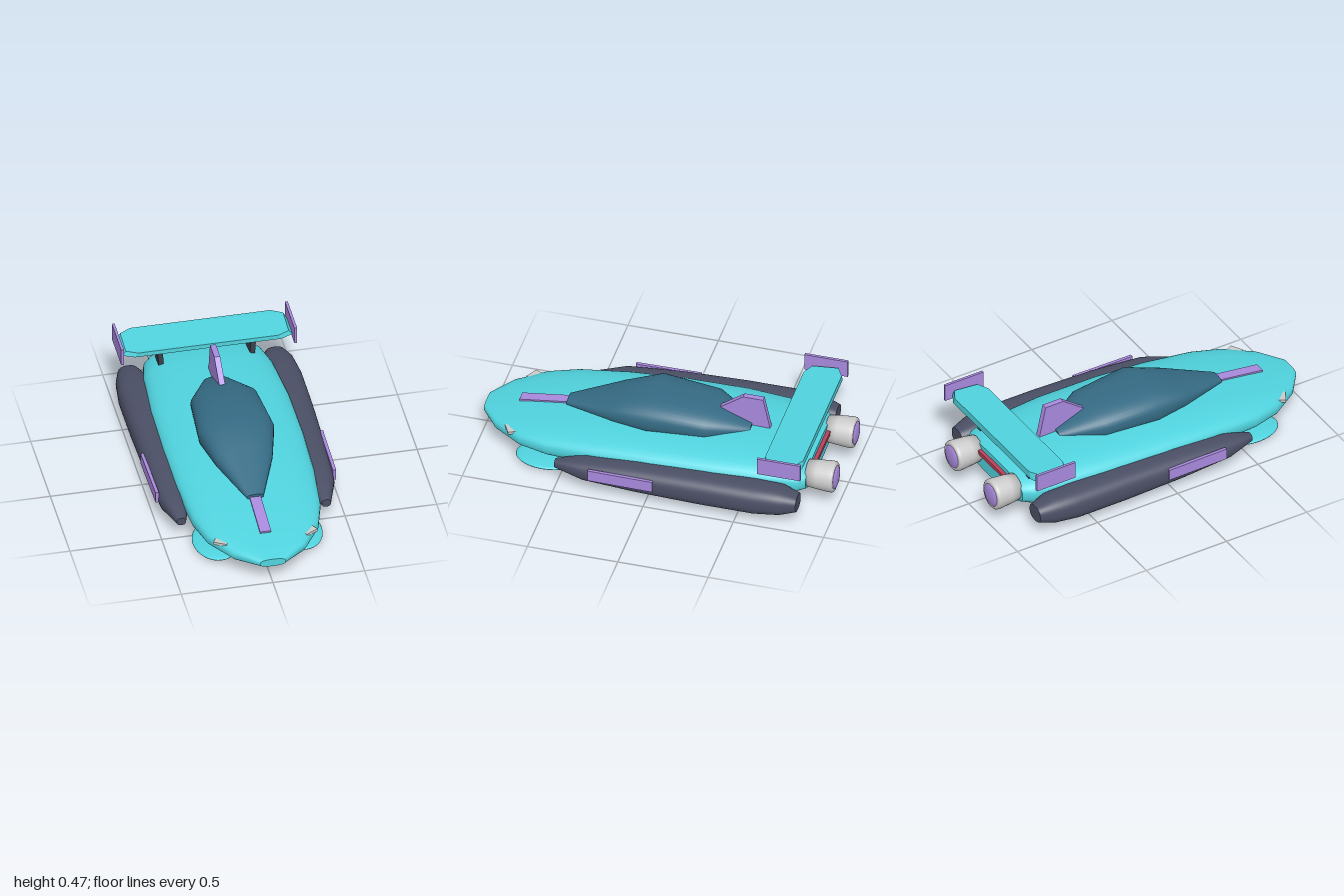
import * as THREE from 'three';

const mat = (color) => new THREE.MeshStandardMaterial({ color });
const TEAL = mat(0x50d3de), DARK = mat(0x4b4f65), GLASS = mat(0x356b84), PURPLE = mat(0xa98ade);
const BELLY = mat(0x2b2d38), STRUT = mat(0x3b3f4c), GREY = mat(0xcccccc), RED = mat(0xb8405a);

// Skin over superellipse sections, listed nose to tail: [z, halfWidth, bottom, top, centreX]
function loft(stations, power, sides = 40) {
  const pos = [], idx = [];
  const sp = (v) => Math.sign(v) * Math.abs(v) ** (2 / power);
  const ring = ([z, w, lo, hi, cx = 0]) => {
    const start = pos.length / 3;
    for (let j = 0; j < sides; j++) {
      const a = (j / sides) * Math.PI * 2;
      pos.push(cx + w * sp(Math.cos(a)), (lo + hi) / 2 + ((hi - lo) / 2) * sp(Math.sin(a)), z);
    }
    return start;
  };
  const starts = stations.map(ring);
  for (let i = 0; i + 1 < starts.length; i++) {
    for (let j = 0; j < sides; j++) {
      const k = (j + 1) % sides, p = starts[i], q = starts[i + 1];
      idx.push(p + j, q + j, p + k, q + j, q + k, p + k);
    }
  }
  // flat end caps with their own vertices
  [stations[0], stations[stations.length - 1]].forEach((s, end) => {
    const r = ring(s), c = pos.length / 3;
    pos.push(s[4] || 0, (s[2] + s[3]) / 2, s[0]);
    for (let j = 0; j < sides; j++) {
      const k = (j + 1) % sides;
      if (end) idx.push(c, r + k, r + j);
      else idx.push(c, r + j, r + k);
    }
  });
  const g = new THREE.BufferGeometry();
  g.setAttribute('position', new THREE.Float32BufferAttribute(pos, 3));
  g.setIndex(idx);
  g.computeVertexNormals();
  return g;
}

export function createModel() {
  const model = new THREE.Group();
  model.name = 'hoverRacer';
  const add = (name, geometry, material, x = 0, y = 0, z = 0) => {
    const m = new THREE.Mesh(geometry, material);
    m.name = name;
    m.position.set(x, y, z);
    model.add(m);
    return m;
  };
  const box = (w, h, d) => new THREE.BoxGeometry(w, h, d);

  // Main body
  add('hull', loft([
    [1, 0.07, 0.11, 0.155], [0.9, 0.2, 0.09, 0.18], [0.74, 0.305, 0.073, 0.207],
    [0.58, 0.35, 0.064, 0.23], [0.3, 0.375, 0.06, 0.262], [0, 0.385, 0.058, 0.281],
    [-0.35, 0.38, 0.06, 0.29], [-0.65, 0.355, 0.065, 0.283], [-0.79, 0.325, 0.075, 0.265],
    [-0.84, 0.29, 0.09, 0.245],
  ], 2.7, 48), TEAL);

  add('canopy', loft([
    [0.55, 0.045, 0.225, 0.258], [0.27, 0.155, 0.22, 0.352], [0.07, 0.206, 0.21, 0.42],
    [-0.25, 0.182, 0.22, 0.39], [-0.47, 0.065, 0.24, 0.3],
  ], 2.5), GLASS);

  add('bellyPlate', loft([
    [0.8, 0.13, 0.036, 0.06], [0.6, 0.23, 0.031, 0.065], [0.2, 0.29, 0.025, 0.07],
    [-0.3, 0.3, 0.022, 0.07], [-0.62, 0.28, 0.027, 0.07], [-0.71, 0.26, 0.036, 0.07],
  ], 3.5), BELLY);

  // Stripe sunk into the nose
  const stripe = add('noseStripe', box(0.06, 0.02, 0.31), PURPLE, 0, 0.217, 0.66);
  stripe.rotation.x = 0.14;

  // Dorsal fin: outline in (-z, y), extruded across x
  const finShape = new THREE.Shape([[0.29, 0.37], [0.3, 0.28], [0.57, 0.28], [0.53, 0.466], [0.42, 0.466]]
    .map(([a, b]) => new THREE.Vector2(a, b)));
  const finGeo = new THREE.ExtrudeGeometry(finShape, { depth: 0.032, bevelEnabled: false });
  finGeo.translate(0, 0, -0.016).rotateY(Math.PI / 2);
  add('dorsalFin', finGeo, PURPLE);

  // Rear wing: clipped-corner plan, narrowing upwards with a sloping top
  const plan = [[0.4, 0.645], [0.465, 0.675], [0.465, 0.82], [0.4, 0.855]];
  const outline = [...plan, ...plan.map(([x, z]) => [-x, z]).reverse()];
  const wingGeo = new THREE.ExtrudeGeometry(
    new THREE.Shape(outline.map(([x, z]) => new THREE.Vector2(x, z))), { depth: 0.04, bevelEnabled: false });
  wingGeo.rotateX(-Math.PI / 2);
  const p = wingGeo.attributes.position;
  for (let i = 0; i < p.count; i++) {
    if (p.getY(i) > 0.02) {
      p.setX(i, p.getX(i) * 0.955);
      if (p.getZ(i) > -0.7) p.setY(i, 0.026);
    }
  }
  wingGeo.computeVertexNormals();
  add('rearWing', wingGeo, TEAL, 0, 0.36, 0);

  add('tailLight', box(0.32, 0.022, 0.04), RED, 0, 0.205, -0.842);

  // Engine nozzle profile, radius against length
  const nozzle = [[0, 0], [0.074, 0], [0.08, 0.06], [0.086, 0.13], [0.084, 0.148], [0.076, 0.155], [0.06, 0.155], [0, 0.15]]
    .map(([r, l]) => new THREE.Vector2(r, l));

  for (const s of [1, -1]) {
    const side = s > 0 ? 'left' : 'right';

    // Side pod and its outer stripe
    add(side + 'SidePod', loft([
      [0.515, 0.025, 0.09, 0.135, 0.395 * s], [0.35, 0.077, 0.062, 0.178, 0.397 * s],
      [0.05, 0.093, 0.047, 0.2, 0.398 * s], [-0.3, 0.099, 0.04, 0.209, 0.4 * s],
      [-0.6, 0.1, 0.04, 0.209, 0.4 * s], [-0.74, 0.085, 0.053, 0.2, 0.4 * s],
      [-0.83, 0.055, 0.08, 0.172, 0.4 * s],
    ], 2.5), DARK);
    const podStripe = add(side + 'PodStripe', box(0.018, 0.065, 0.36), PURPLE, 0.486 * s, 0.138, 0.13);
    podStripe.rotation.y = -0.015 * s;

    // Headlight wrapped on the nose corner
    const lamp = add(side + 'Headlight', box(0.075, 0.016, 0.045), GREY, 0.24 * s, 0.164, 0.805);
    lamp.rotation.y = 0.5 * s;

    // Wing supports and end plates
    const strut = add(side + 'WingStrut', box(0.028, 0.12, 0.1), STRUT, 0.252 * s, 0.31, -0.735);
    strut.rotation.z = -0.06 * s;
    add(side + 'WingEndPlate', box(0.015, 0.1, 0.24), PURPLE, 0.472 * s, 0.385, -0.745);

    // Engine and its glow
    const engine = add(side + 'Engine', new THREE.LatheGeometry(nozzle, 32), GREY, 0.2 * s, 0.18, -0.83);
    engine.rotation.x = -Math.PI / 2;
    const glow = add(side + 'EngineGlow', new THREE.SphereGeometry(0.066, 28, 14), PURPLE, 0.2 * s, 0.18, -0.982);
    glow.scale.z = 0.27;

    // Hover pads
    for (const [end, z] of [['Front', 0.6], ['Rear', -0.49]]) {
      const pad = add(side + end + 'HoverPad', new THREE.SphereGeometry(1, 32, 16), TEAL, 0.23 * s, 0.02, z);
      pad.scale.set(0.122, 0.02, 0.175);
    }
  }
  return model;
}
